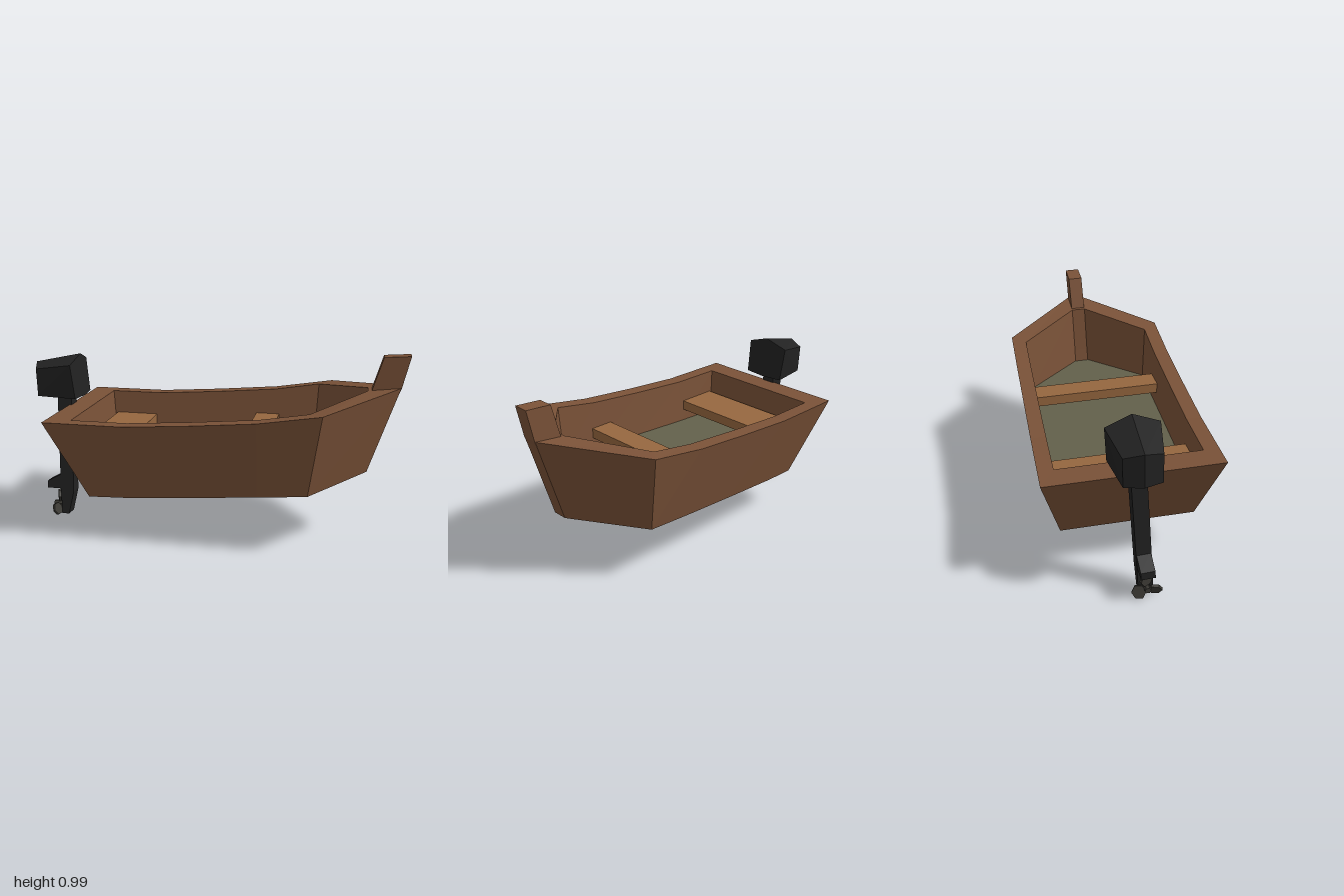
import * as THREE from 'three';
import { ConvexGeometry } from 'three/addons/geometries/ConvexGeometry.js';

const mat = (color) => new THREE.MeshStandardMaterial({ color, flatShading: true, side: THREE.DoubleSide });
const wood = mat(0x7a5238), plank = mat(0x96673f), floorGreen = mat(0x62604b);
const black = mat(0x222222), metal = mat(0x3a3833);

// Stations from stern to bow. Each: bottom, outer rim, inner rim, floor as [along, height, half width]
const stations = [
  [[-0.61, 0.242, 0.34], [-0.816, 0.657, 0.432], [-0.687, 0.657, 0.355], [-0.665, 0.40, 0.335]],
  [[-0.42, 0.25, 0.342], [-0.39, 0.658, 0.432], [-0.39, 0.658, 0.355], [-0.39, 0.41, 0.335]],
  [[-0.05, 0.28, 0.347], [-0.05, 0.683, 0.432], [-0.05, 0.683, 0.355], [-0.05, 0.43, 0.335]],
  [[0.28, 0.308, 0.35], [0.28, 0.713, 0.432], [0.28, 0.713, 0.355], [0.28, 0.445, 0.335]],
  [[0.533, 0.331, 0.35], [0.595, 0.764, 0.432], [0.529, 0.755, 0.355], [0.515, 0.46, 0.335]],
  [[0.817, 0.38, 0.038], [0.965, 0.835, 0.038], [0.80, 0.815, 0.038], [0.775, 0.48, 0.038]],
];

function quadGeometry(quads) {
  const pos = [];
  for (const [a, b, c, d] of quads) pos.push(...a, ...b, ...c, ...a, ...c, ...d);
  const g = new THREE.BufferGeometry();
  g.setAttribute('position', new THREE.Float32BufferAttribute(pos, 3));
  g.computeVertexNormals();
  return g;
}

// Side outline (along, height) given a thickness across the boat
function slab(points, width) {
  const shape = new THREE.Shape(points.map(([u, y]) => new THREE.Vector2(u, y)));
  return new THREE.ExtrudeGeometry(shape, { depth: width, bevelEnabled: false }).translate(0, 0, -width / 2);
}

function add(parent, name, geometry, material) {
  const mesh = new THREE.Mesh(geometry, material);
  mesh.name = name;
  parent.add(mesh);
  return mesh;
}

function buildHull(boat) {
  // closed ring per station: right side up and over to the floor, then back on the left
  const rings = stations.map((s) => [
    ...s.map(([u, y, h]) => [u, y, h]),
    ...s.map(([u, y, h]) => [u, y, -h]).reverse(),
  ]);
  const shell = [], floor = [];
  for (let i = 0; i < rings.length - 1; i++) {
    const a = rings[i], b = rings[i + 1];
    for (let k = 0; k < 8; k++) {
      const n = (k + 1) % 8;
      (k === 3 ? floor : shell).push([a[k], b[k], b[n], a[n]]);
    }
  }
  // stern and bow: outer wall, rim top, inner wall
  const stern = rings[0], bow = rings[rings.length - 1];
  for (let k = 0; k < 3; k++) {
    shell.push([stern[7 - k], stern[k], stern[k + 1], stern[6 - k]]);
    shell.push([bow[k], bow[7 - k], bow[6 - k], bow[k + 1]]);
  }
  add(boat, 'hull', quadGeometry(shell), wood);
  add(boat, 'floor', quadGeometry(floor), floorGreen);
}

function buildMotor() {
  const motor = new THREE.Group();
  motor.name = 'outboardMotor';
  // cowl: six-sided in plan with a ridged, sloping top
  const p = [
    [-1.0, 0.71, 0], [-0.735, 0.71, 0], [-1.01, 0.885, 0], [-0.755, 0.94, 0],
  ];
  for (const s of [-1, 1]) {
    p.push([-0.975, 0.71, s * 0.09], [-0.75, 0.71, s * 0.12], [-0.98, 0.86, s * 0.09], [-0.77, 0.895, s * 0.128]);
  }
  add(motor, 'motorCowl', new ConvexGeometry(p.map((v) => new THREE.Vector3(...v))), black);

  const leg = new THREE.Group();
  leg.name = 'motorLeg';
  leg.position.set(0, 0.72, 0);
  leg.rotation.x = -0.04;
  motor.add(leg);
  const drop = (g) => g.translate(0, -0.72, 0);
  add(leg, 'motorShaft', drop(slab([
    [-0.883, 0.72], [-0.883, 0.165], [-0.878, 0.018], [-0.838, 0.018], [-0.807, 0.15], [-0.803, 0.72],
  ], 0.075)), black);
  add(leg, 'motorFin', drop(slab([
    [-0.87, 0.255], [-0.962, 0.205], [-0.962, 0.165], [-0.87, 0.165],
  ], 0.07)), black);

  // propeller: hub and three six-sided blades
  const prop = new THREE.Group();
  prop.name = 'propeller';
  prop.position.set(-0.905, 0.067 - 0.72, 0);
  leg.add(prop);
  add(prop, 'propellerHub', new THREE.CylinderGeometry(0.016, 0.016, 0.06, 6).rotateZ(Math.PI / 2), metal);
  for (let i = 0; i < 3; i++) {
    const arm = new THREE.Group();
    arm.name = 'propellerBlade';
    arm.rotation.x = (i * Math.PI * 2) / 3;
    prop.add(arm);
    const blade = add(arm, 'blade', new THREE.CylinderGeometry(0.036, 0.036, 0.014, 6).rotateZ(Math.PI / 2), metal);
    blade.position.y = 0.046;
    blade.rotation.y = 0.45;
  }
  return motor;
}

export function createModel() {
  const model = new THREE.Group();
  model.name = 'motorBoat';

  // the boat sits slightly turned and rolled
  const tilt = new THREE.Group();
  tilt.name = 'boatTilt';
  tilt.rotation.set(-0.038, -0.171, 0, 'YXZ');
  model.add(tilt);
  const boat = new THREE.Group();
  boat.name = 'boat';
  boat.position.z = 0.041;
  tilt.add(boat);

  buildHull(boat);

  // stem post at the bow
  add(boat, 'stemPost', slab([
    [0.77, 0.46], [0.82, 0.46], [0.967, 0.836], [1.005, 1.0], [0.87, 0.99], [0.805, 0.77],
  ], 0.077), wood);

  // bench seats
  for (const [name, from, to, top] of [['sternSeat', -0.66, -0.42, 0.53], ['middleSeat', 0.176, 0.308, 0.57]]) {
    const seat = add(boat, name, new THREE.BoxGeometry(to - from, 0.055, 0.71), plank);
    seat.position.set((from + to) / 2, top - 0.0275, 0);
  }

  boat.add(buildMotor());
  return model;
}
